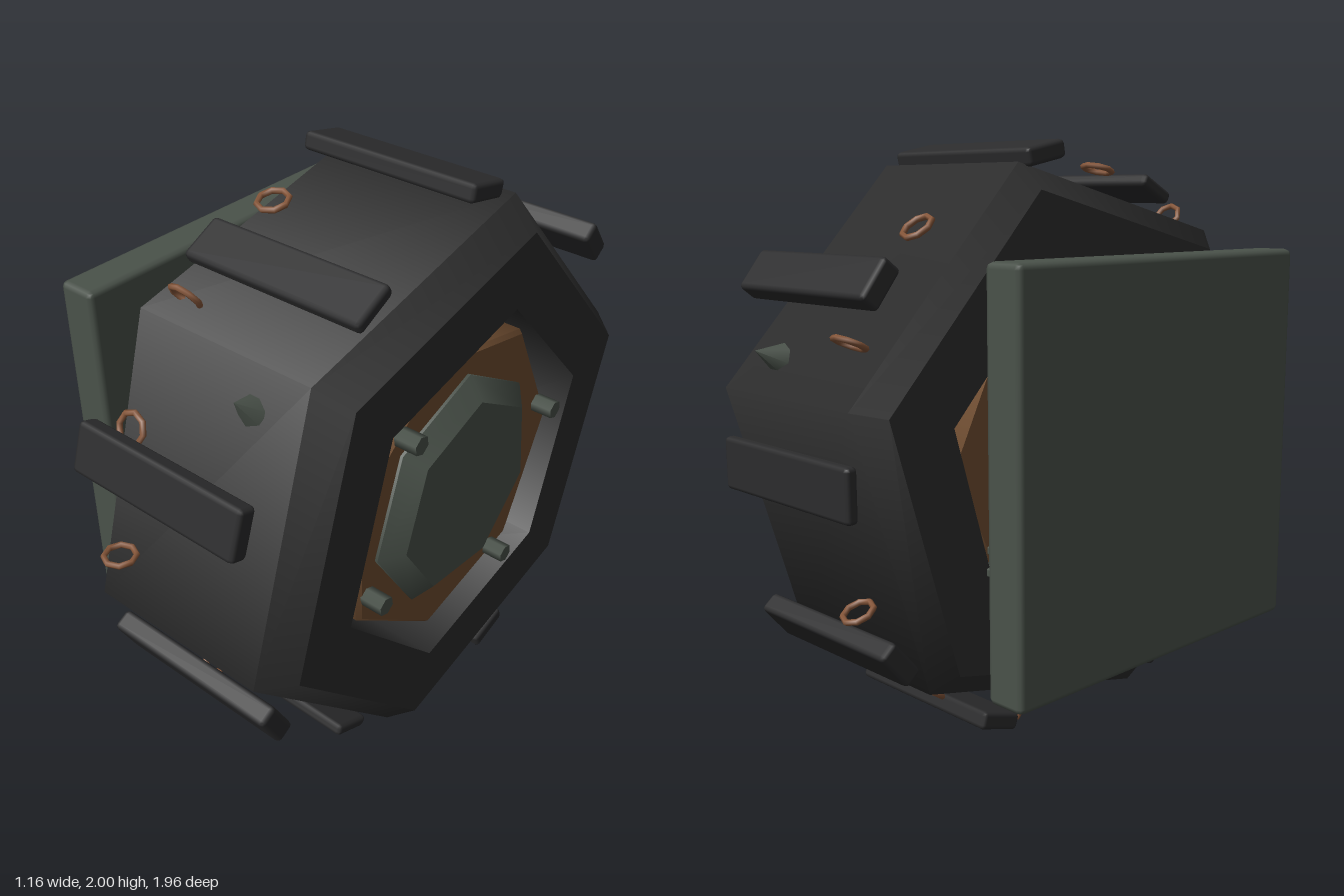
import * as THREE from 'three';
import { mergeGeometries } from 'three/addons/utils/BufferGeometryUtils.js';
import { RoundedBoxGeometry } from 'three/addons/geometries/RoundedBoxGeometry.js';

const rad = THREE.MathUtils.degToRad;

function paint(name, color) {
  const m = new THREE.MeshStandardMaterial({ color });
  m.name = name;
  return m;
}

// Polygonal solid around the x axis; profile is [radius, x], corners start at angle deg from +z.
// Each band keeps its own normals so the edges between bands stay sharp.
function turned(profile, sides, deg) {
  const bands = [];
  for (let i = 0; i + 1 < profile.length; i++) {
    const pair = [profile[i], profile[i + 1]].map(([r, x]) => new THREE.Vector2(r, x));
    bands.push(new THREE.LatheGeometry(pair, sides, -rad(deg)));
  }
  return mergeGeometries(bands).rotateZ(-Math.PI / 2);
}

export function createModel() {
  const model = new THREE.Group();
  const rubber = paint('black rubber', 0x2e2e2e);
  const treadRubber = paint('tread rubber', 0x2c2c2d);
  const steel = paint('grey green steel', 0x4a524a);
  const rust = paint('rusty brown', 0x724f32);
  const copper = paint('copper', 0x87573a);

  const add = (name, geometry, material, x, y, z, tilt = 0) => {
    const mesh = new THREE.Mesh(geometry, material);
    mesh.name = name;
    mesh.position.set(x, y, z);
    mesh.rotation.x = rad(tilt);
    model.add(mesh);
    return mesh;
  };
  const box = (w, h, d, bevel = 0.012) => new RoundedBoxGeometry(w, h, d, 1, bevel);

  // Six-sided tire with bevelled shoulders and an open middle
  add('tire', turned([
    [0.625, -0.265], [0.87, -0.265], [0.957, -0.19], [0.957, 0.46],
    [0.865, 0.56], [0.625, 0.56], [0.625, -0.265],
  ], 6, 46.5), rubber, 0, 1.01, -0.015);

  // Seven-sided rim and hub cap
  add('rim', turned([
    [0, -0.2], [0.55, -0.2], [0.55, 0.485], [0.537, 0.5], [0, 0.5],
  ], 7, 179), rust, 0, 1.005, -0.015);
  add('hubCap', turned([
    [0.41, 0.49], [0.41, 0.51], [0.335, 0.565], [0, 0.565],
  ], 7, 95.3), steel, 0, 1.02, 0);

  // Wheel bolts, one missing
  for (const [z, y] of [[0.296, 1.376], [-0.487, 1.09], [0.44, 0.847], [-0.254, 0.593]]) {
    add('bolt', turned([[0, -0.04], [0.033, -0.04], [0.033, 0.04], [0, 0.04]], 6, 20),
      steel, 0.537, y, z);
  }

  // Tread blocks: z, y, tilt, length, thickness; alternately offset along the axle
  [
    [-0.957, 1.0, 90, 0.17, 0.042],
    [-0.79, 1.58, -52, 0.15, 0.075],
    [-0.185, 1.957, -12, 0.165, 0.06],
    [0.42, 1.85, 27, 0.155, 0.045],
    [0.89, 1.345, 72, 0.165, 0.065],
    [0.855, 0.61, -62, 0.165, 0.07],
    [0.42, 0.17, -25, 0.155, 0.04],
    [-0.34, 0.106, 18, 0.165, 0.06],
    [-0.8, 0.455, 50, 0.155, 0.07],
  ].forEach(([z, y, tilt, length, thick], i) => {
    add('treadBlock', box(0.65, thick, length, 0.015), treadRubber, i % 2 ? 0.17 : 0.108, y, z, tilt);
  });

  // Loose rings around the inner side: z, y, tilt
  const ring = new THREE.TorusGeometry(0.05, 0.01, 6, 8).rotateX(Math.PI / 2);
  for (const [z, y, tilt] of [
    [0.196, 1.915, 15], [0.57, 1.75, -55], [0.82, 1.425, 65], [0.92, 1.01, 0],
    [0.566, 0.286, 50], [0.18, 0.095, -12], [-0.217, 0.106, -78], [-0.587, 0.27, 35],
    [-0.85, 0.6, -25], [-0.85, 1.41, 25], [-0.593, 1.735, -38],
  ]) add('ring', ring, copper, -0.075, y, z, tilt);

  // Spikes pointing outward: z, y, outward angle
  const spike = new THREE.ConeGeometry(0.05, 0.095, 7);
  for (const [z, y, out] of [[0.715, 1.605, 140], [0.07, 0.052, 265], [-0.9, 1.35, 20]]) {
    add('spike', spike, steel, 0.28, y, z, out - 90);
  }

  // Mounting plate
  add('mountingPlate', box(0.14, 1.29, 1.29, 0.02), steel, -0.51, 1.005, -0.015);

  // Axle with brackets above and below
  add('axle', turned([[0, -0.45], [0.105, -0.45], [0.105, -0.15], [0, -0.15]], 12, 0),
    steel, 0, 0.995, -0.065);
  add('upperBracket', box(0.29, 0.47, 0.22), rust, -0.3, 1.295, 0.03);
  add('lowerBracket', box(0.29, 0.17, 0.22), rust, -0.3, 0.825, 0.03);

  // Stacked leaf spring, longest leaf at the bottom
  [[0.687, 0.97], [0.738, 0.88], [0.777, 0.7], [0.815, 0.52]].forEach(([y, length]) => {
    add('springLeaf', box(0.21, 0.028, length, 0.006), steel, -0.32, y, -0.015);
  });

  // Slanted strut from the plate to the rim
  const from = new THREE.Vector3(-0.46, 1.45, -0.44);
  const to = new THREE.Vector3(-0.17, 1.33, -0.21);
  const strut = add('strut', new THREE.CylinderGeometry(0.04, 0.04, from.distanceTo(to), 10),
    rust, 0, 0, 0);
  strut.position.copy(from).lerp(to, 0.5);
  strut.quaternion.setFromUnitVectors(new THREE.Vector3(0, 1, 0), to.clone().sub(from).normalize());

  return model;
}
